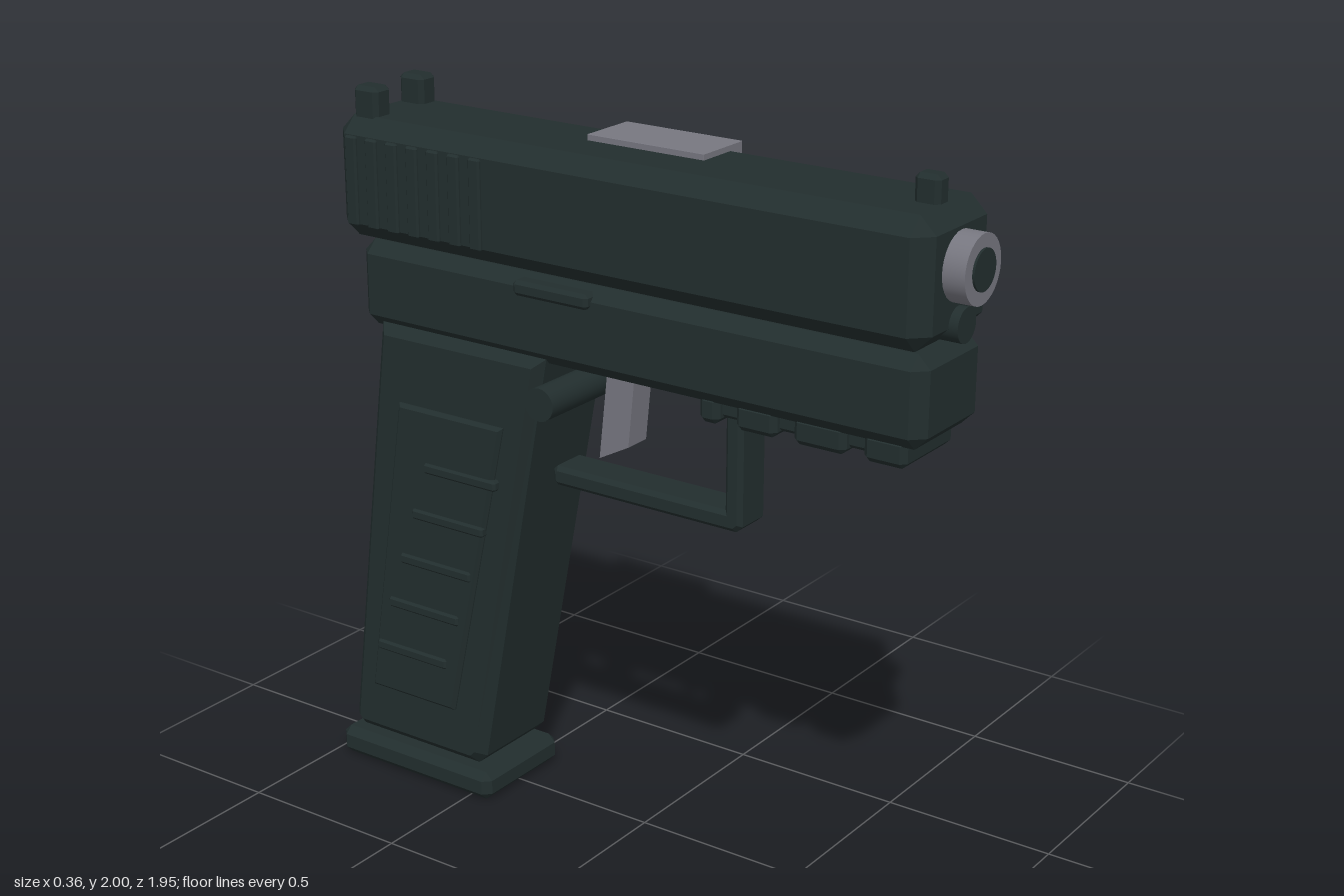
import * as THREE from 'three';
import { ConvexGeometry } from 'three/addons/geometries/ConvexGeometry.js';

const CX = -0.003; // body centre line

export function createModel() {
  const model = new THREE.Group();
  model.name = 'toyPistol';
  const dark = new THREE.MeshStandardMaterial({ color: 0x222e2e });
  dark.name = 'dark green grey';
  const steel = new THREE.MeshStandardMaterial({ color: 0x777780 });
  steel.name = 'steel grey';

  const add = (name, geometry, material = dark) => {
    const mesh = new THREE.Mesh(geometry, material);
    mesh.name = name;
    model.add(mesh);
    return mesh;
  };

  // Box between limits with every edge chamfered by c
  const chamferBox = (name, [x0, x1], [y0, y1], [z0, z1], c, material) => {
    const half = [(x1 - x0) / 2, (y1 - y0) / 2, (z1 - z0) / 2];
    const points = [];
    for (const sx of [-1, 1]) for (const sy of [-1, 1]) for (const sz of [-1, 1]) {
      for (let face = 0; face < 3; face++) {
        const p = half.map((h, i) => (i === face ? h : h - c));
        points.push(new THREE.Vector3(sx * p[0], sy * p[1], sz * p[2]));
      }
    }
    const mesh = add(name, new ConvexGeometry(points), material);
    mesh.position.set((x0 + x1) / 2, (y0 + y1) / 2, (z0 + z1) / 2);
    return mesh;
  };

  // Side outline of [z, y] points extruded across x, with a single-step bevel
  const sidePlate = (name, outline, halfWidth, bevel, material, x = CX) => {
    const shape = new THREE.Shape(outline.map(([z, y]) => new THREE.Vector2(-z, y)));
    const depth = 2 * (halfWidth - bevel);
    const geometry = new THREE.ExtrudeGeometry(shape, {
      depth, bevelEnabled: bevel > 0, bevelThickness: bevel, bevelSize: bevel,
      bevelOffset: -bevel, bevelSegments: 1,
    });
    geometry.translate(0, 0, -depth / 2);
    geometry.rotateY(Math.PI / 2);
    return add(name, geometry, material).translateX(x);
  };

  const rod = (name, radius, y, z0, z1, material) => {
    const geometry = new THREE.CylinderGeometry(radius, radius, z1 - z0, 32);
    geometry.rotateX(Math.PI / 2);
    add(name, geometry, material).position.set(CX, y, (z0 + z1) / 2);
  };

  const across = (h) => [CX - h, CX + h];

  // Slide and frame
  chamferBox('slide', across(0.166), [1.59, 1.922], [-0.905, 0.91], 0.045);
  chamferBox('frame', across(0.15), [1.345, 1.585], [-0.845, 0.907], 0.035);

  // Rear grooves on the slide
  for (let i = 0; i < 7; i++) {
    const z = -0.415 - i * 0.07;
    chamferBox('slideRib', across(0.176), [1.63, 1.875], [z - 0.019, z + 0.019], 0.005);
  }

  // Ejection cover
  chamferBox('ejectionCover', [0, 0.172], [1.82, 1.938], [-0.18, 0.18], 0.001, steel);

  // Barrel, bore and guide rod
  rod('barrel', 0.088, 1.78, 0.6, 0.97, steel);
  rod('bore', 0.053, 1.78, 0.8, 0.976);
  rod('guideRod', 0.045, 1.637, 0.7, 0.935);

  // Sights
  chamferBox('frontSight', across(0.028), [1.9, 1.992], [0.79, 0.86], 0.012);
  for (const side of [-1, 1]) {
    const x = CX + side * 0.093;
    chamferBox('rearSight', [x - 0.033, x + 0.033], [1.9, 2.0], [-0.862, -0.78], 0.012);
  }

  // Slide stops on both sides
  chamferBox('slideStop', across(0.17), [1.53, 1.572], [-0.3, -0.06], 0.01);

  // Accessory rail: narrow core with wider teeth
  chamferBox('railCore', across(0.095), [1.3, 1.36], [0.26, 0.84], 0.01);
  for (const span of [[0.73, 0.85], [0.53, 0.68], [0.36, 0.48], [0.25, 0.31]]) {
    chamferBox('railTooth', across(0.12), [1.285, 1.36], span, 0.015);
  }

  // Trigger guard
  sidePlate('triggerGuard', [
    [0.345, 1.36], [0.345, 0.995], [0.325, 0.977], [-0.25, 0.977], [-0.262, 0.99],
    [-0.262, 1.02], [-0.25, 1.032], [0.292, 1.032], [0.292, 1.36],
  ], 0.06, 0.012);

  // Trigger
  sidePlate('trigger', [[0.002, 1.37], [-0.022, 1.13], [-0.116, 1.08], [-0.085, 1.37]], 0.04, 0, steel);

  // Cross pin behind the trigger
  const pin = new THREE.CylinderGeometry(0.046, 0.046, 0.35, 24).rotateZ(Math.PI / 2);
  add('crossPin', pin).position.set(0, 1.247, -0.215);

  // Grip with side panels and ribs
  sidePlate('grip', [
    [-0.22, 1.36], [-0.452, 0.13], [-0.482, 0.1], [-0.91, 0.1], [-0.936, 0.13], [-0.78, 1.36],
  ], 0.158, 0.028);
  sidePlate('gripPanels', [[-0.345, 1.15], [-0.54, 0.26], [-0.84, 0.26], [-0.705, 1.15]], 0.172, 0.01);
  for (let i = 0; i < 5; i++) {
    const y = 0.982 - i * 0.145;
    const z = -0.365 - i * 0.048;
    chamferBox('gripRib', across(0.18), [y - 0.015, y + 0.015], [z - 0.25, z], 0.006);
  }

  // Magazine base
  chamferBox('basePlate', across(0.168), [0, 0.085], [-0.977, -0.425], 0.022);

  return model;
}
